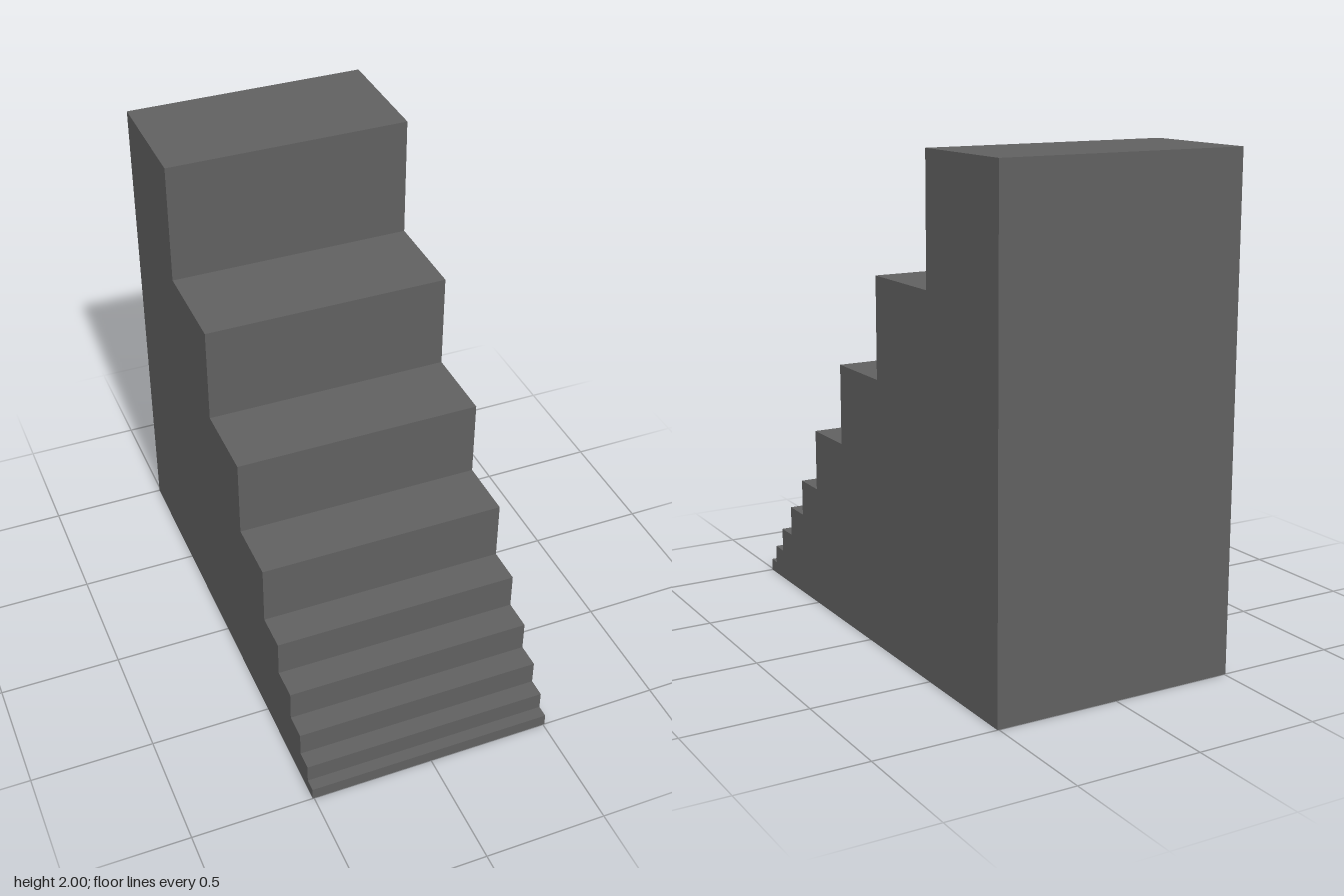
import * as THREE from 'three';

// Each step rises as much as it runs; sizes grow towards the back.
const STEPS = [2, 3, 4, 5, 6, 10, 13, 16, 20];
const UNIT = 2 / STEPS.reduce((sum, s) => sum + s, 0);
const WIDTH = 40 * UNIT;

export function createModel() {
  const group = new THREE.Group();
  group.name = 'staircase';

  // Side profile: shape x becomes z, from the back corner to the front and up the steps
  const profile = new THREE.Shape();
  profile.moveTo(-1, 0);
  profile.lineTo(1, 0);
  let climbed = 0;
  for (const step of STEPS) {
    const front = 1 - climbed * UNIT;
    climbed += step;
    profile.lineTo(front, climbed * UNIT);
    profile.lineTo(1 - climbed * UNIT, climbed * UNIT);
  }
  profile.closePath();

  // Solid flight of steps, centred across its width
  const geometry = new THREE.ExtrudeGeometry(profile, { depth: WIDTH, bevelEnabled: false });
  geometry.translate(0, 0, -WIDTH / 2);
  geometry.rotateY(-Math.PI / 2);

  // Dark grey stone
  const material = new THREE.MeshStandardMaterial({ color: 0x606060, flatShading: true });
  const stairs = new THREE.Mesh(geometry, material);
  stairs.name = 'steps';
  group.add(stairs);
  return group;
}
